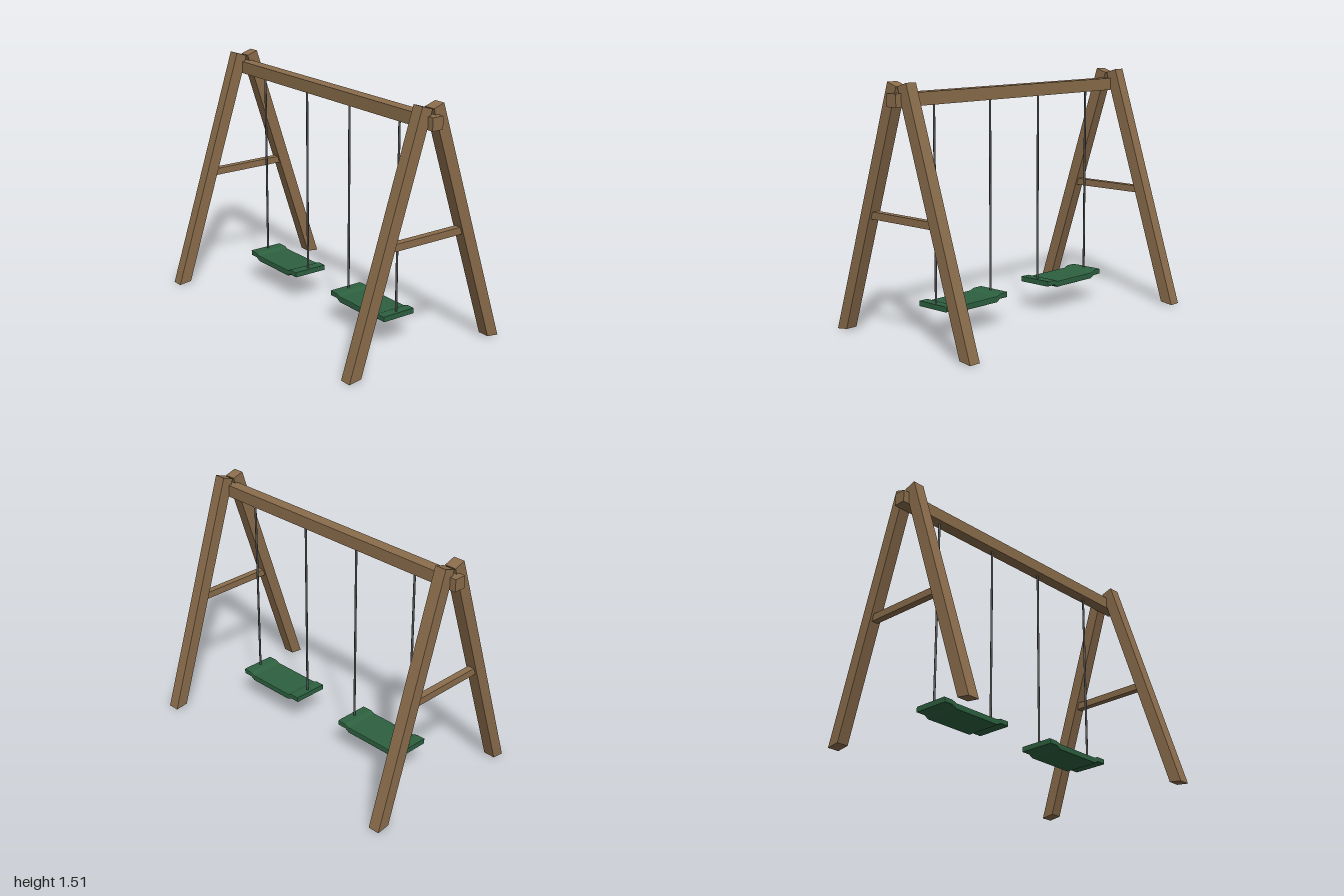
import * as THREE from 'three';

const wood = new THREE.MeshStandardMaterial({ color: 0x8b6d4c });
wood.name = 'wood';
const green = new THREE.MeshStandardMaterial({ color: 0x2d6140 });
green.name = 'seat green';
const steel = new THREE.MeshStandardMaterial({ color: 0x505050 });
steel.name = 'dark steel';

const LEG_Z = 0.922;

function add(parent, name, geometry, material, x = 0, y = 0, z = 0) {
  const mesh = new THREE.Mesh(geometry, material);
  mesh.name = name;
  mesh.position.set(x, y, z);
  parent.add(mesh);
  return mesh;
}

function outline(points) {
  return new THREE.Shape(points.map(([x, y]) => new THREE.Vector2(x, y)));
}

// Sloping post with a square-cut head and a slightly angled foot
function legGeometry(side) {
  const points = [[0.568, 0], [0.078, 1.513], [0.005, 1.489], [0.485, 0.011]];
  const depth = 0.075;
  const shape = outline(points.map(([x, y]) => [x * side, y]));
  return new THREE.ExtrudeGeometry(shape, { depth, bevelEnabled: false }).translate(0, 0, -depth / 2);
}

// Dished board: raised ends, lowered middle, softened long edges
function seatGeometry() {
  const half = [[0.258, 0.17], [0.258, 0.203], [0.196, 0.203], [0.166, 0.191]];
  const lower = [[0.166, 0.153], [0.196, 0.17]];
  const profile = [
    ...lower, ...half,
    ...[...half].reverse().map(([z, y]) => [-z, y]),
    ...[...lower].reverse().map(([z, y]) => [-z, y]),
  ];
  const bevel = 0.006;
  const depth = 0.234 - 2 * bevel;
  return new THREE.ExtrudeGeometry(outline(profile), {
    depth, bevelSize: bevel, bevelThickness: bevel, bevelOffset: -bevel, bevelSegments: 2,
  }).translate(0, 0, -depth / 2).rotateY(-Math.PI / 2);
}

export function createModel() {
  const group = new THREE.Group();
  group.name = 'swingSet';

  add(group, 'topBeam', new THREE.BoxGeometry(0.076, 0.077, 2), wood, 0, 1.414, 0);

  // A-frames at both ends
  for (const end of [1, -1]) {
    const frame = new THREE.Group();
    frame.name = end > 0 ? 'frontFrame' : 'backFrame';
    frame.position.z = end * LEG_Z;
    add(frame, 'leftLeg', legGeometry(1), wood);
    add(frame, 'rightLeg', legGeometry(-1), wood);
    add(frame, 'crossBrace', new THREE.BoxGeometry(0.56, 0.044, 0.044), wood, 0, 0.73, 0);
    group.add(frame);
  }

  // Two swings, each a seat on a pair of hanging rods
  for (const [name, z] of [['frontSwing', 0.447], ['backSwing', -0.442]]) {
    const swing = new THREE.Group();
    swing.name = name;
    swing.position.z = z;
    add(swing, 'seat', seatGeometry(), green);
    for (const s of [1, -1]) {
      add(swing, 'hanger', new THREE.CylinderGeometry(0.007, 0.007, 1.2, 12), steel, 0, 0.785, s * 0.23);
    }
    group.add(swing);
  }
  return group;
}
